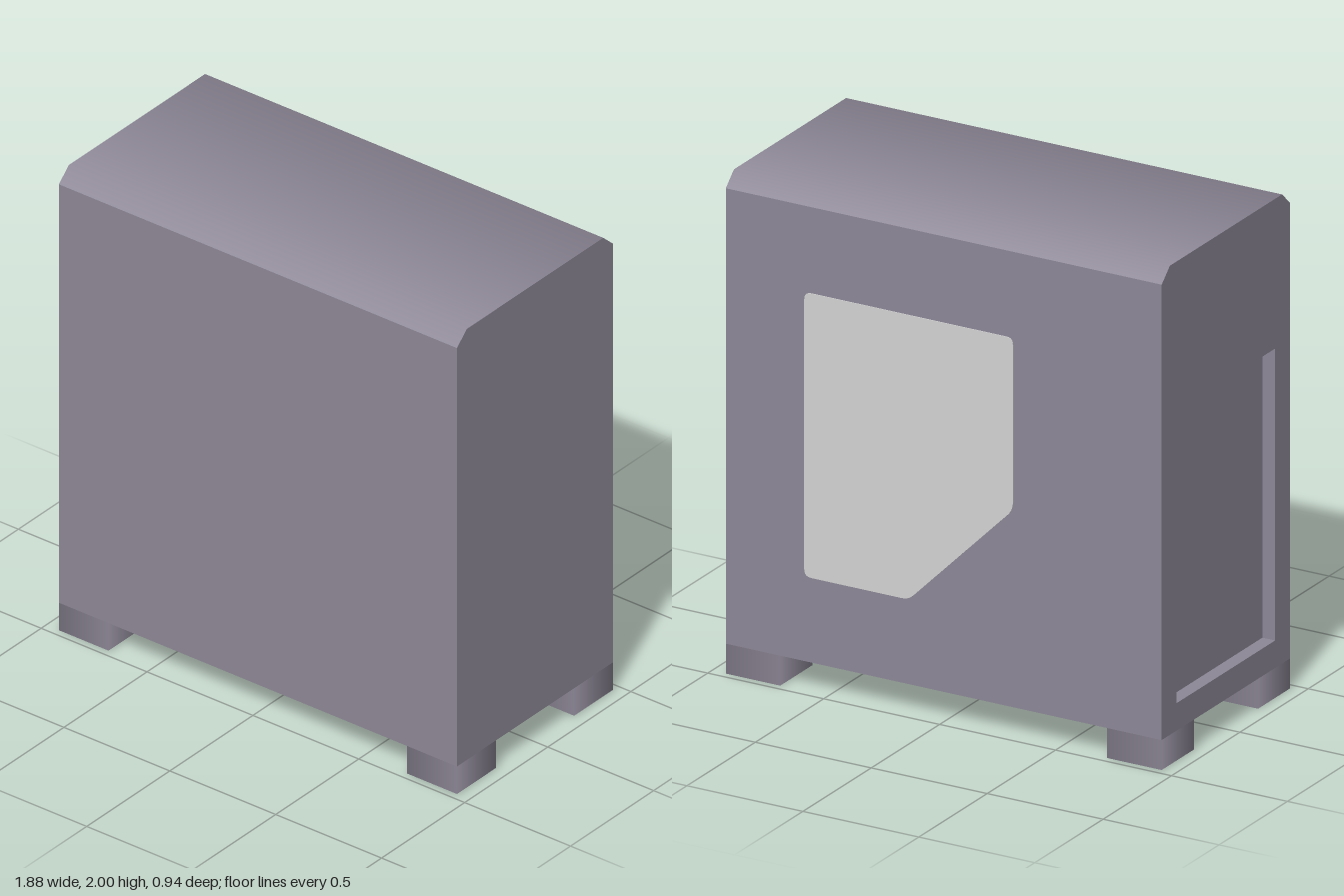
import * as THREE from 'three';

const W = 0.94, D = 0.47, SKIN = 0.055; // half width, half depth, recess depth

// Side profile: upright slab with chamfered top edges
function profile() {
  return new THREE.Shape([
    [-D, 0.12], [D, 0.12], [D, 1.945], [0.41, 2], [-0.41, 2], [-D, 1.945],
  ].map(([z, y]) => new THREE.Vector2(z, y)));
}

// Extrude a side profile along x, with the lid shaded smoothly across its chamfers
function slab(shape, x0, x1) {
  const geo = new THREE.ExtrudeGeometry(shape, { depth: x1 - x0, bevelEnabled: false });
  geo.rotateY(Math.PI / 2).translate(x0, 0, 0);
  const p = geo.attributes.position, n = geo.attributes.normal;
  const tilt = Math.PI / 8;
  for (let i = 0; i < p.count; i++) {
    if (p.getY(i) > 1.99 && n.getY(i) > 0.5) {
      n.setXYZ(i, 0, Math.cos(tilt), Math.sin(tilt) * Math.sign(p.getZ(i)));
    }
  }
  return geo;
}

// Polygon with softly rounded corners
function roundedPolygon(points, r) {
  const v = points.map(([x, y]) => new THREE.Vector2(x, y));
  const shape = new THREE.Shape();
  v.forEach((c, i) => {
    const toward = (q) => c.clone().add(q.clone().sub(c).setLength(r));
    const a = toward(v[(i + v.length - 1) % v.length]);
    const b = toward(v[(i + 1) % v.length]);
    if (i === 0) shape.moveTo(a.x, a.y); else shape.lineTo(a.x, a.y);
    shape.quadraticCurveTo(c.x, c.y, b.x, b.y);
  });
  shape.closePath();
  return shape;
}

export function createModel() {
  const model = new THREE.Group();
  model.name = 'computerCase';
  const caseGrey = new THREE.MeshStandardMaterial({ color: 0x8e8897 });
  caseGrey.name = 'case grey';
  const windowGrey = new THREE.MeshStandardMaterial({ color: 0xd4d4d4 });
  windowGrey.name = 'window grey';

  const add = (name, geo, mat) => {
    const mesh = new THREE.Mesh(geo, mat);
    mesh.name = name;
    model.add(mesh);
    return mesh;
  };

  // Main body; its -x end is the floor of the recess
  add('body', slab(profile(), -W + SKIN, W), caseGrey);

  // End frame around the recessed panel
  const frame = profile();
  frame.holes.push(new THREE.Path([
    [-0.36, 0.23], [-0.36, 1.4], [0.36, 1.4], [0.36, 0.23],
  ].map(([z, y]) => new THREE.Vector2(z, y))));
  add('recessFrame', slab(frame, -W, -W + SKIN), caseGrey);

  // Side window with one cut corner
  const pane = roundedPolygon([
    [0.6, 1.6], [-0.3, 1.6], [-0.3, 0.91], [0.15, 0.46], [0.6, 0.46],
  ], 0.03);
  const paneGeo = new THREE.ExtrudeGeometry(pane, { depth: 0.005, bevelEnabled: false, curveSegments: 5 });
  add('window', paneGeo, windowGrey).position.z = -D - 0.003;

  // Four square feet with softly shaded sides
  const size = 0.235;
  const footGeo = new THREE.CylinderGeometry(size / Math.SQRT2, size / Math.SQRT2, 0.12, 4);
  footGeo.rotateY(Math.PI / 4);
  for (const sx of [-1, 1]) {
    for (const sz of [-1, 1]) {
      add('foot', footGeo, caseGrey).position.set(sx * (W - size / 2), 0.06, sz * (D - size / 2));
    }
  }
  return model;
}
